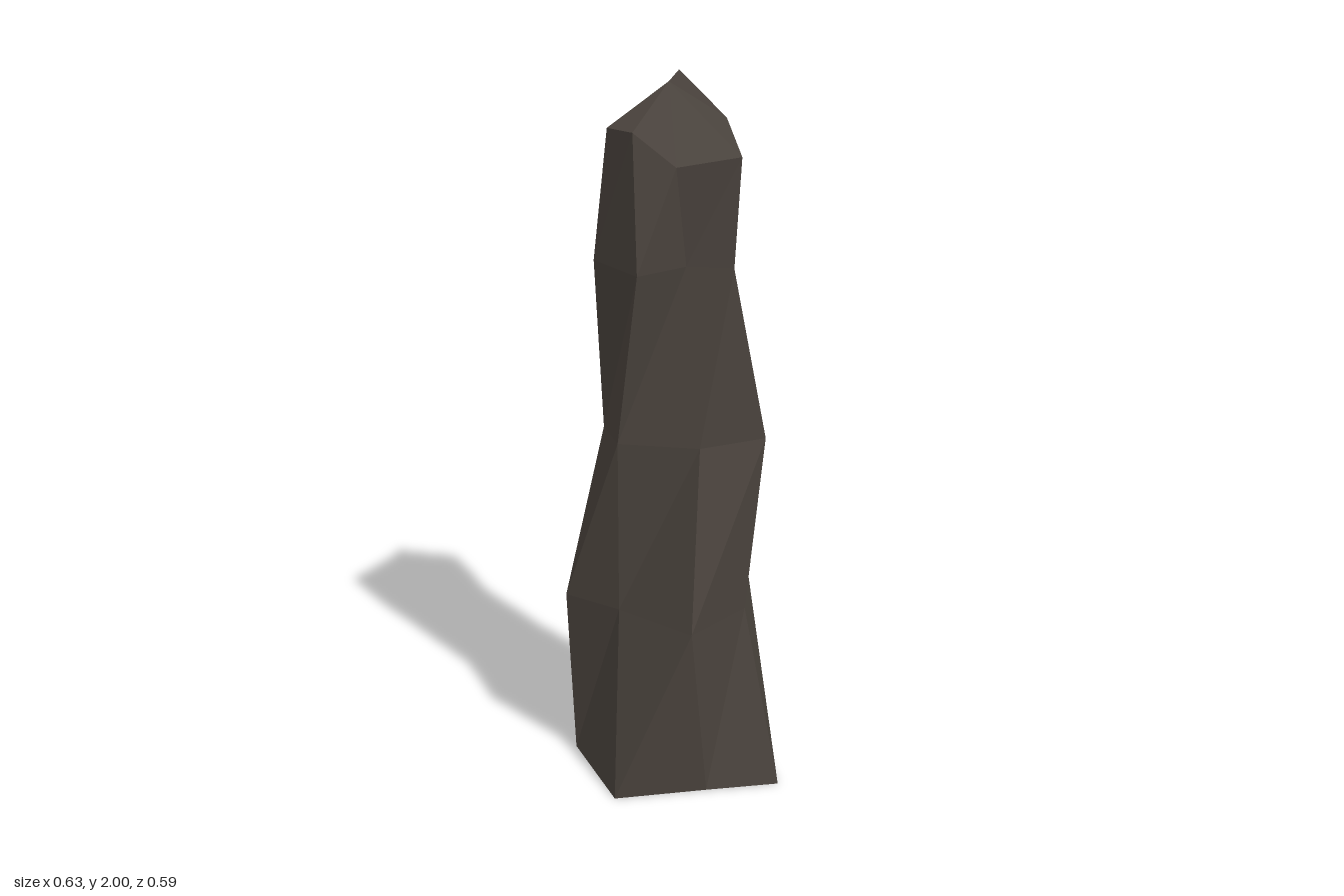
import * as THREE from 'three';

// Seven-cornered cross-sections from base to crown, each corner as [x, z] or [x, z, y]
const SECTIONS = [
  { y: 0, pts: [[0.315, -0.05], [0.17, 0.1], [-0.01, 0.293], [-0.29, 0.115], [-0.315, -0.07], [-0.205, -0.296], [0.07, -0.277]] },
  { y: 0.51, pts: [[0.18, -0.07], [0.165, 0.165], [-0.1, 0.148], [-0.285, 0.155], [-0.25, -0.08], [-0.2, -0.277], [0.07, -0.25]] },
  { y: 1.01, pts: [[0.203, -0.13], [0.105, 0.045], [-0.1, 0.147], [-0.215, 0.06], [-0.226, -0.115], [-0.125, -0.178], [0.08, -0.148]] },
  { y: 1.51, pts: [[0.155, -0.04], [0.04, 0.02], [-0.01, 0.173], [-0.2, 0.115], [-0.2, -0.1], [-0.088, -0.205], [0.08, -0.133]] },
  { pts: [[0.16, -0.065, 1.81], [0.04, 0.065, 1.79], [-0.035, 0.155, 1.89], [-0.15, 0.115, 1.88], [-0.212, -0.095, 1.82], [-0.095, -0.132, 2], [-0.015, -0.243, 1.86]] },
];
const APEX = [-0.098, 1.975, -0.09];

function buildRock() {
  const n = 7;
  const positions = [];
  const index = [];
  for (const { y, pts } of SECTIONS) {
    for (const [x, z, py] of pts) positions.push(x, py ?? y, z);
  }
  const top = (SECTIONS.length - 1) * n;
  const baseCentre = top + n;
  const apex = baseCentre + 1;
  positions.push(-0.03, 0, -0.02, ...APEX);

  for (let i = 0; i < n; i++) {
    const j = (i + 1) % n;
    // Twisting side facets
    for (let r = 0; r < top; r += n) {
      index.push(r + j, r + i, r + n + i, r + j, r + n + i, r + n + j);
    }
    // Flat underside and faceted crown
    index.push(baseCentre, i, j, apex, top + j, top + i);
  }

  const indexed = new THREE.BufferGeometry();
  indexed.setAttribute('position', new THREE.Float32BufferAttribute(positions, 3));
  indexed.setIndex(index);
  const geometry = indexed.toNonIndexed();
  geometry.computeVertexNormals();
  return geometry;
}

export function createModel() {
  const stone = new THREE.MeshStandardMaterial({ color: 0x4a433d, flatShading: true });
  stone.name = 'dark brown stone';

  const pillar = new THREE.Mesh(buildRock(), stone);
  pillar.name = 'rockPillar';

  const group = new THREE.Group();
  group.name = 'rock';
  group.add(pillar);
  return group;
}
